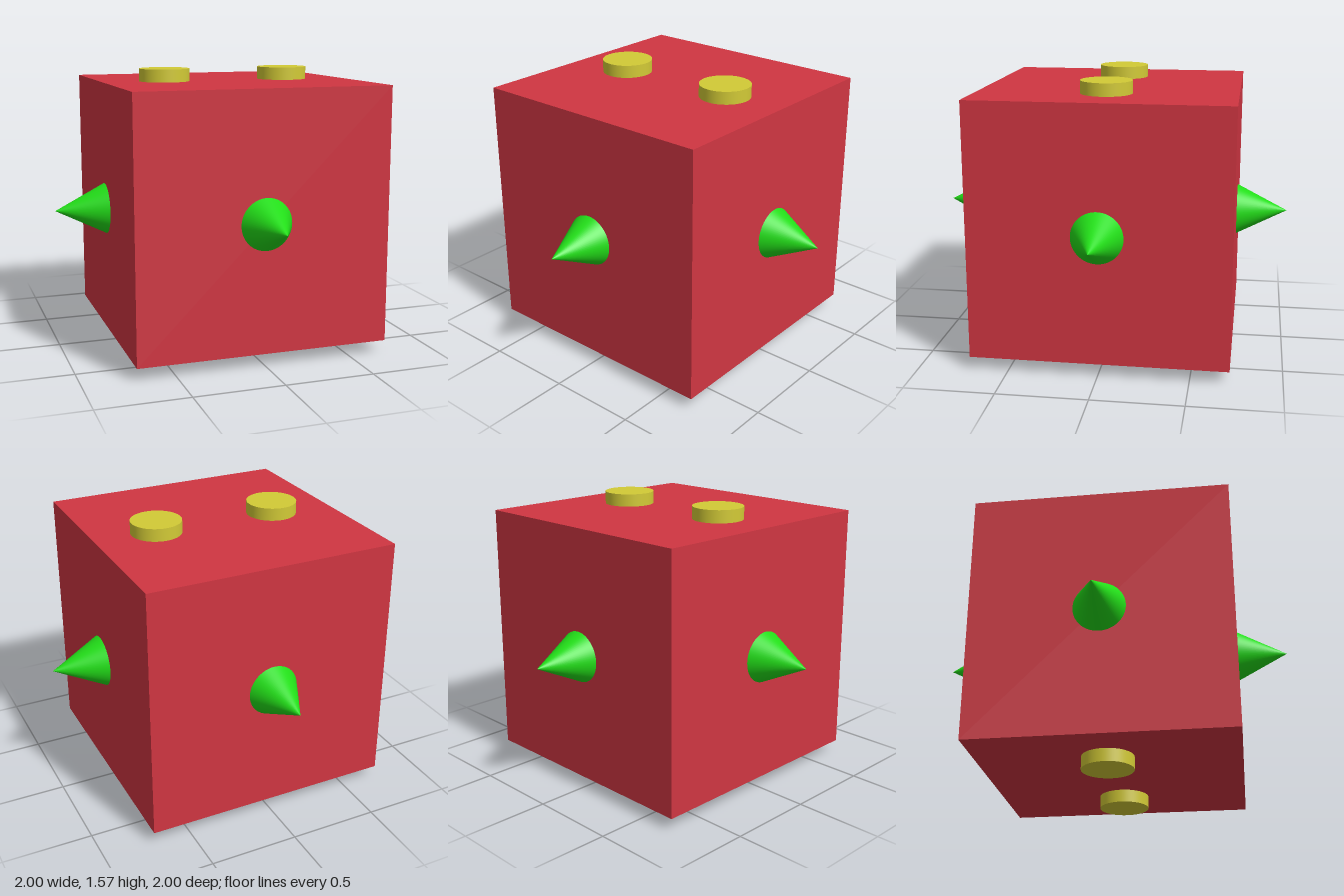
import * as THREE from 'three';

const U = 1 / 7;           // base unit: radius of cones and studs
const HALF = 5 * U;        // half the cube's edge
const MID = HALF + U / 2;  // height of the cube's centre

export function createModel() {
  const model = new THREE.Group();
  const red = new THREE.MeshStandardMaterial({ color: 0xd03642 });
  const green = new THREE.MeshStandardMaterial({ color: 0x22dd18 });
  const yellow = new THREE.MeshStandardMaterial({ color: 0xd2ca36 });

  const add = (name, geometry, material, x, y, z) => {
    const mesh = new THREE.Mesh(geometry, material);
    mesh.name = name;
    mesh.position.set(x, y, z);
    model.add(mesh);
    return mesh;
  };

  // Cube body
  add('body', new THREE.BoxGeometry(2 * HALF, 2 * HALF, 2 * HALF), red, 0, MID, 0);

  // One cone pointing outward from the centre of each side face
  const cone = new THREE.ConeGeometry(U, 2 * U, 64);
  const up = new THREE.Vector3(0, 1, 0);
  const sides = { front: [0, 1], back: [0, -1], left: [1, 0], right: [-1, 0] };
  for (const [side, [x, z]] of Object.entries(sides)) {
    const reach = HALF + U;
    const spike = add(side + 'Spike', cone, green, x * reach, MID, z * reach);
    spike.quaternion.setFromUnitVectors(up, new THREE.Vector3(x, 0, z));
  }

  // Two round studs on top, and two feet below
  const stud = new THREE.CylinderGeometry(U, U, U / 2, 64);
  for (const [side, s] of [['left', 1], ['right', -1]]) {
    add(side + 'Stud', stud, yellow, s * 2.5 * U, MID + HALF + U / 4, 0);
    add(side + 'Foot', stud, yellow, s * 2.5 * U, U / 4, 0);
  }
  return model;
}
